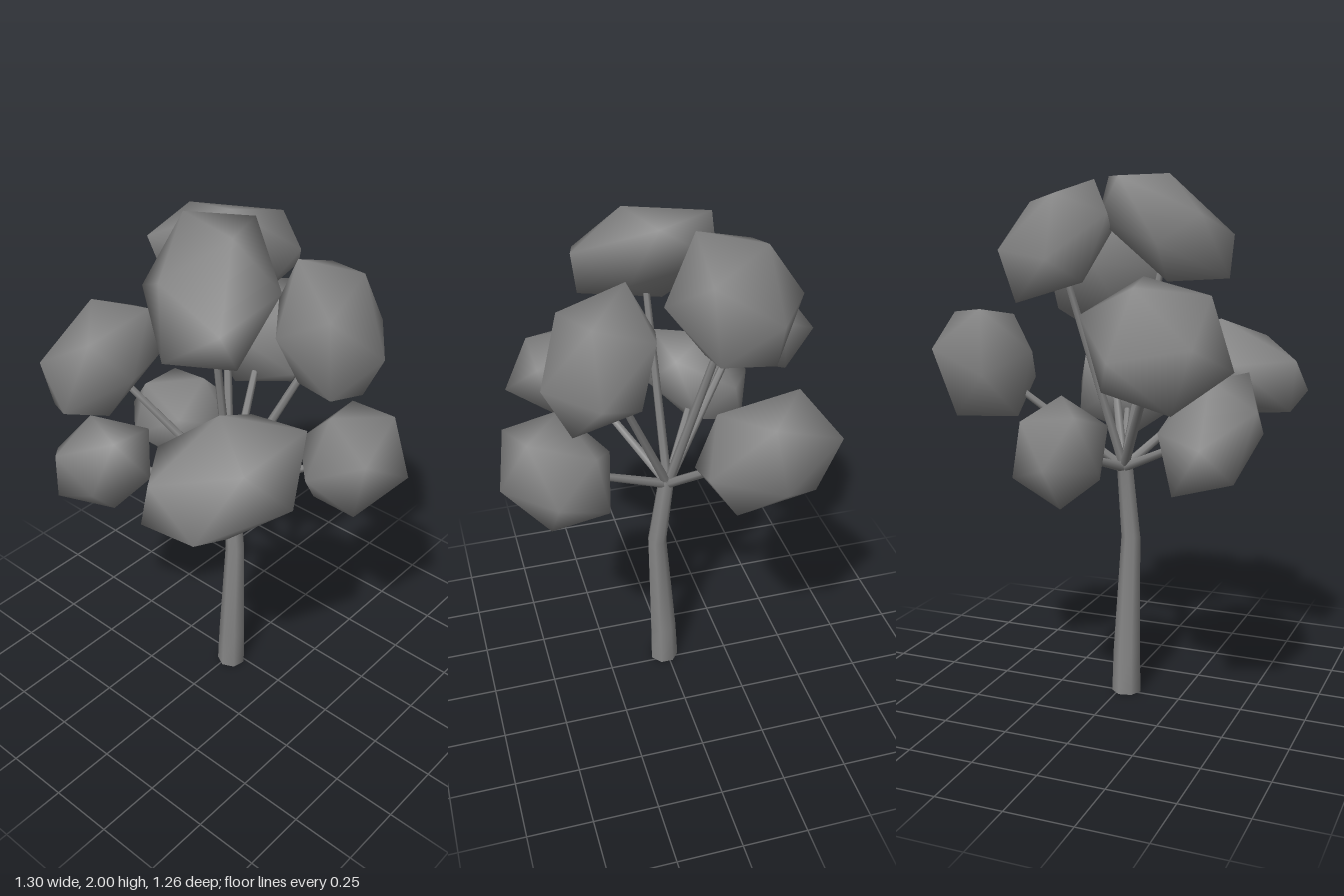
import * as THREE from 'three';
import { mergeVertices, toCreasedNormals } from 'three/addons/utils/BufferGeometryUtils.js';
import { ConvexGeometry } from 'three/addons/geometries/ConvexGeometry.js';

const HUB = new THREE.Vector3(0, 0.91, 0.02);
const UP = new THREE.Vector3(0, 1, 0);

// Leaf clump: a squashed, smooth-shaded icosahedron. Two neighbouring rim corners
// a and b span its six-sided middle, and h is the outward half thickness.
function leafClump(centre, a, b, h, material) {
  const u = new THREE.Vector3(...a), v = new THREE.Vector3(...b), out = new THREE.Vector3(...h);
  const points = [];
  for (const corner of [u, v.clone().sub(u), v.clone().negate()]) {
    for (const side of [1, -1]) {
      points.push(
        corner.clone().addScaledVector(out, -0.236).multiplyScalar(side), // zigzag rim
        corner.clone().multiplyScalar(0.62).add(out).multiplyScalar(side), // outer and inner face
      );
    }
  }
  const hull = new ConvexGeometry(points);
  hull.deleteAttribute('normal');
  const geometry = mergeVertices(hull);
  geometry.computeVertexNormals();
  const mesh = new THREE.Mesh(geometry, material);
  mesh.name = 'leafClump';
  mesh.position.set(...centre);
  return mesh;
}

// Tapered branch between two points
function branch(from, to, material) {
  const dir = to.clone().sub(from);
  const mesh = new THREE.Mesh(new THREE.CylinderGeometry(0.012, 0.019, dir.length(), 6), material);
  mesh.name = 'branch';
  mesh.position.copy(from).addScaledVector(dir, 0.5);
  mesh.quaternion.setFromUnitVectors(UP, dir.normalize());
  return mesh;
}

// Bent, tapering, open-ended trunk: each cylinder ring gets its own centre and radius
function trunk(material) {
  const rings = [ // x, y, z, radius
    [0.013, 0, 0.028, 0.058],
    [0.018, 0.17, 0.028, 0.054],
    [0.04, 0.63, 0.035, 0.038],
    [0.003, 0.94, 0.022, 0.031],
  ];
  const g = new THREE.CylinderGeometry(1, 1, 3, 7, 3, true);
  const p = g.attributes.position;
  for (let i = 0; i < p.count; i++) {
    const [x, y, z, r] = rings[Math.round(p.getY(i) + 1.5)];
    p.setXYZ(i, x + p.getX(i) * r, y, z + p.getZ(i) * r);
  }
  const mesh = new THREE.Mesh(toCreasedNormals(g, 1.2), material);
  mesh.name = 'trunk';
  return mesh;
}

// Centre, rim corners a and b, outward half thickness h
const CLUMPS = [
  [[0.05, 1.812, 0.175], [0.015, 0.198, -0.21], [0.25, 0.036, -0.075], [0.07, 0.07, 0.105]],
  [[-0.225, 1.315, -0.44], [0.1, -0.195, -0.075], [0.26, -0.01, -0.08], [-0.07, 0.07, -0.14]],
  [[-0.188, 1.765, -0.17], [0.27, 0.075, -0.11], [0.125, 0.195, 0.125], [-0.035, 0.09, -0.095]],
  [[0.295, 1.608, -0.18], [-0.122, 0.165, -0.19], [0.018, -0.065, -0.248], [0.12, 0.08, 0]],
  [[0.455, 1.162, -0.135], [0.053, 0.033, -0.22], [0.19, -0.053, -0.06], [0.075, 0.16, 0.055]],
  [[0.298, 1.278, 0.385], [0.255, -0.01, -0.03], [0.16, 0.11, -0.26], [-0.01, 0.115, 0.085]],
  [[-0.388, 1.437, 0.29], [-0.08, 0.12, -0.228], [0.165, 0.185, -0.127], [-0.035, 0.115, 0.09]],
  [[-0.245, 1.118, 0.44], [0.215, 0.015, 0.01], [0.17, 0.2, 0.05], [-0.02, -0.02, 0.15]],
  [[-0.355, 1.035, -0.08], [-0.09, -0.01, 0.175], [-0.22, -0.055, 0.04], [-0.04, 0.15, -0.015]],
];

export function createModel() {
  const grey = new THREE.MeshStandardMaterial({ color: 0x868686, side: THREE.DoubleSide });
  grey.name = 'grey';

  const tree = new THREE.Group();
  tree.name = 'tree';
  tree.add(trunk(grey));
  for (const [centre, a, b, h] of CLUMPS) {
    tree.add(leafClump(centre, a, b, h, grey));
    tree.add(branch(HUB, new THREE.Vector3(...centre), grey));
  }
  return tree;
}
